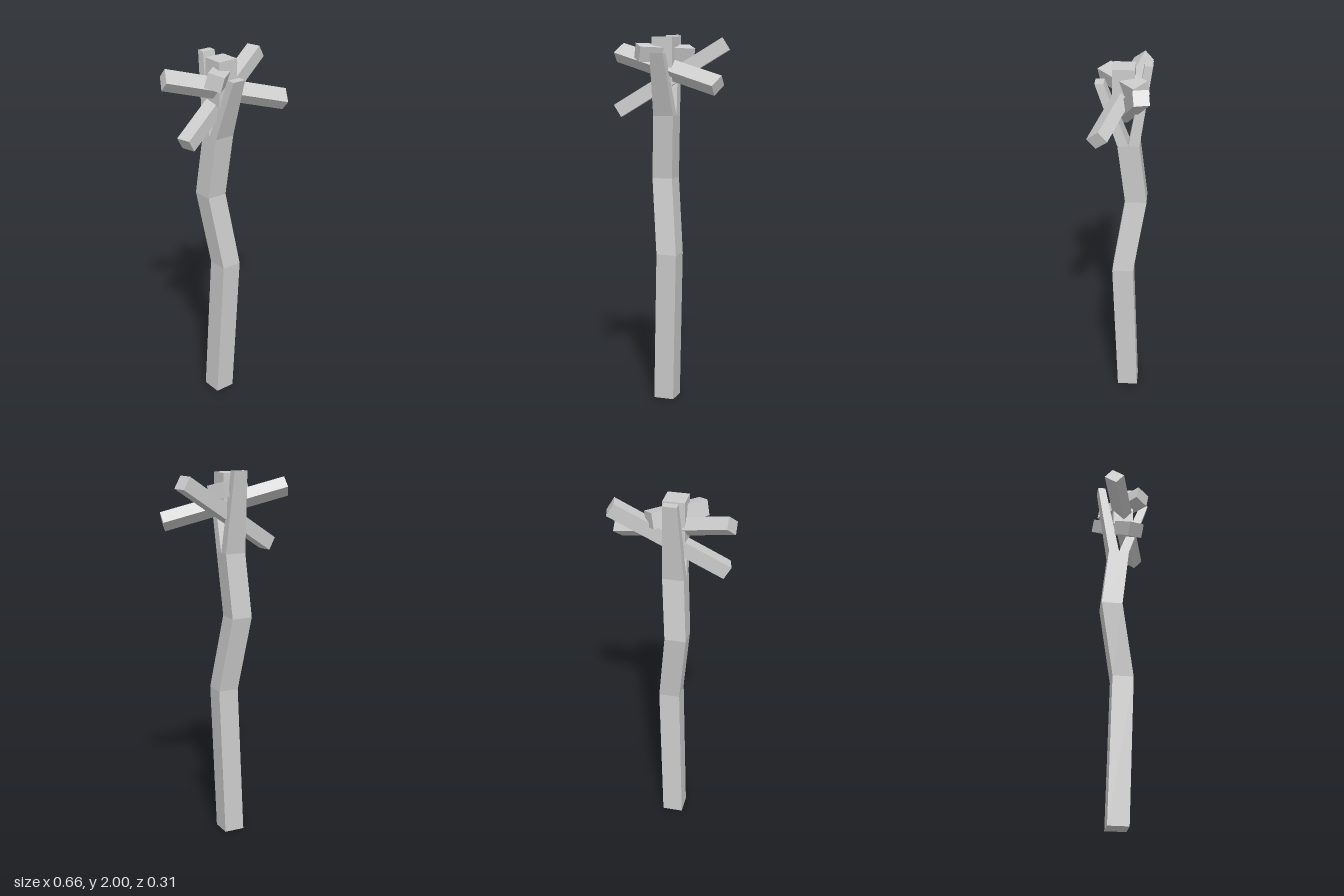
import * as THREE from 'three';

const material = new THREE.MeshStandardMaterial({ color: 0xcccccc, flatShading: true });

function addMesh(group, geometry, name) {
  const mesh = new THREE.Mesh(geometry, material);
  mesh.name = name;
  group.add(mesh);
  return mesh;
}

// Four-sided loft through level sections [y, xMin, xMax, zMin, zMax]
function loft(sections) {
  const pos = [], idx = [];
  for (const [y, x0, x1, z0, z1] of sections) {
    pos.push(x0, y, z1, x1, y, z1, x1, y, z0, x0, y, z0);
  }
  const last = (sections.length - 1) * 4;
  for (let s = 0; s < last; s += 4) {
    for (let i = 0; i < 4; i++) {
      const j = (i + 1) % 4;
      idx.push(s + i, s + j, s + 4 + j, s + i, s + 4 + j, s + 4 + i);
    }
  }
  idx.push(0, 2, 1, 0, 3, 2, last, last + 1, last + 2, last, last + 2, last + 3);
  const g = new THREE.BufferGeometry();
  g.setAttribute('position', new THREE.Float32BufferAttribute(pos, 3));
  g.setIndex(idx);
  g.computeVertexNormals();
  return g;
}

// Square-ended beam between two points; side is the direction of its width
function addBeam(group, name, from, to, side, width, height) {
  const a = new THREE.Vector3(...from), b = new THREE.Vector3(...to);
  const along = b.clone().sub(a);
  const length = along.length();
  along.normalize();
  const across = new THREE.Vector3(...side);
  across.addScaledVector(along, -across.dot(along)).normalize();
  const up = new THREE.Vector3().crossVectors(across, along);
  const beam = addMesh(group, new THREE.BoxGeometry(length, height, width), name);
  beam.quaternion.setFromRotationMatrix(new THREE.Matrix4().makeBasis(along, up, across));
  beam.position.copy(a).add(b).multiplyScalar(0.5);
}

export function createModel() {
  const group = new THREE.Group();

  // Crooked trunk
  addMesh(group, loft([
    [0, -0.072, 0.04, -0.092, 0.021],
    [0.82, -0.047, 0.065, -0.065, 0.049],
    [1.23, -0.095, 0.018, -0.132, -0.018],
    [1.57, -0.075, 0.038, -0.092, 0.021],
  ]), 'trunk');

  // Fork: two tapering prongs that share the trunk's top
  addMesh(group, loft([
    [1.57, -0.075, 0.038, -0.035, 0.021],
    [1.9, -0.052, 0.021, 0.09, 0.135],
  ]), 'frontProng');
  addMesh(group, loft([
    [1.57, -0.075, 0.038, -0.092, -0.035],
    [2.0, -0.052, 0.021, -0.155, -0.113],
  ]), 'backProng');

  // Upright block held in the fork
  const block = addMesh(group, new THREE.BoxGeometry(0.113, 0.235, 0.113), 'uprightBlock');
  block.position.set(-0.016, 1.868, -0.01);

  // Crossed beams
  addBeam(group, 'fallingBeam', [-0.312, 1.908, -0.095], [0.312, 1.733, 0.1],
    [-0.028, -0.055, 0.062], 0.087, 0.067);
  addBeam(group, 'risingBeam', [-0.272, 1.595, 0.03], [0.29, 1.95, -0.11],
    [0.018, 0, 0.076], 0.078, 0.075);
  addBeam(group, 'shortBeam', [-0.137, 1.905, 0.091], [0.099, 1.897, -0.104],
    [0.05, -0.022, 0.067], 0.087, 0.08);

  return group;
}
